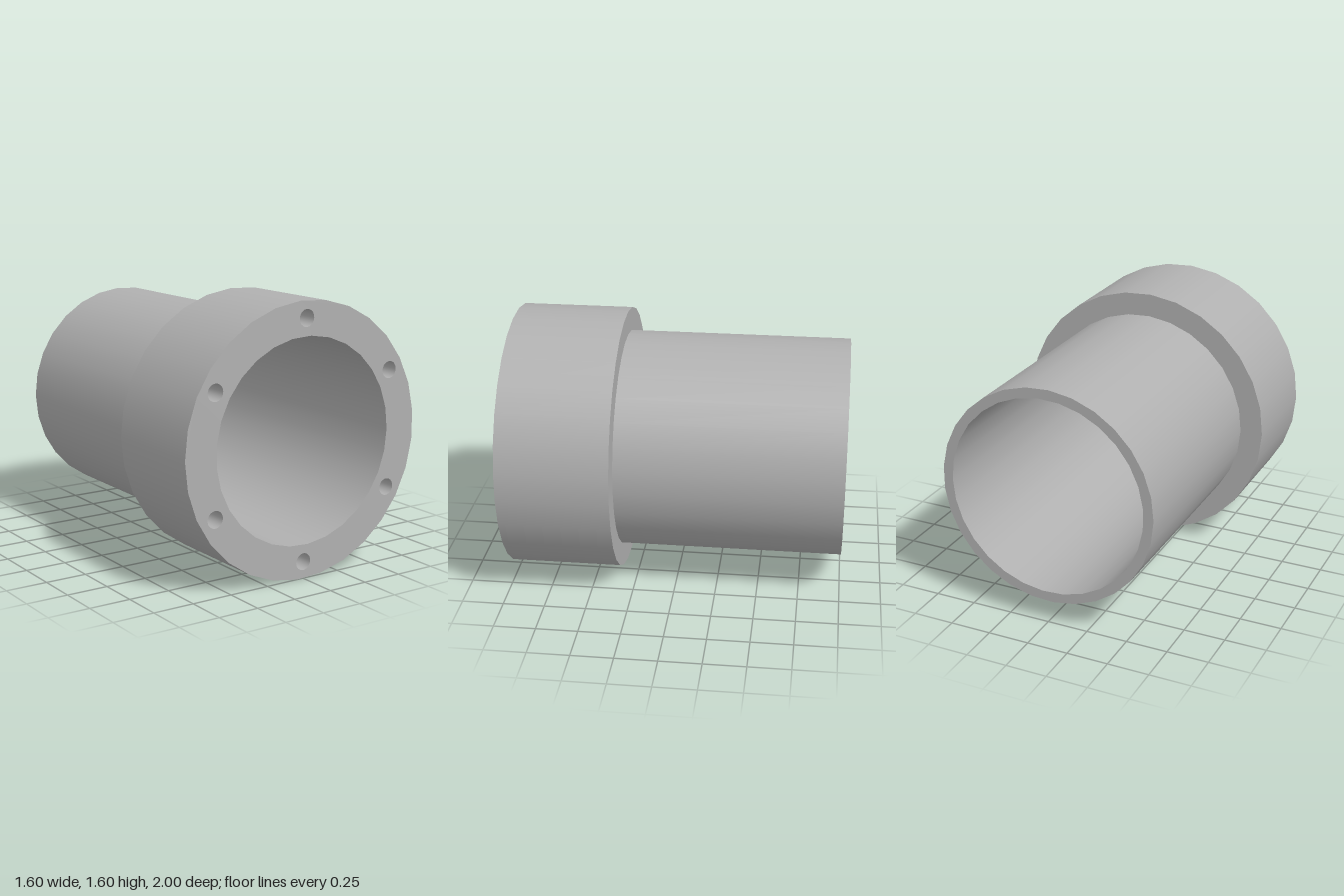
import * as THREE from 'three';

const SIDES = 29;
const FRONT = 1, STEP = 0.335, BACK = -1;
const FLANGE_R = 0.8, TUBE_R = 0.66, BORE_R = 0.6;
const HOLE_R = 0.05, HOLE_RING = 0.7, HOLE_DEPTH = 0.3, TIP = 0.03;

// Regular polygon with its first corner at the given angle
function polygon(r, start, cx = 0, cy = 0) {
  return Array.from({ length: SIDES }, (_, i) => {
    const a = start + (i / SIDES) * Math.PI * 2;
    return new THREE.Vector2(cx + r * Math.cos(a), cy + r * Math.sin(a));
  });
}

// Smooth wall around z; it faces outwards when z rises and inwards when z falls
function wall(r0, z0, r1, z1, start) {
  const points = [new THREE.Vector2(r0, z0), new THREE.Vector2(r1, z1)];
  return new THREE.LatheGeometry(points, SIDES, start + Math.PI / 2).rotateX(Math.PI / 2);
}

// Flat plate with cut-outs, facing +z
function plate(outline, cutouts) {
  const shape = new THREE.Shape(outline);
  cutouts.forEach((points) => shape.holes.push(new THREE.Path(points)));
  return new THREE.ShapeGeometry(shape);
}

export function createModel() {
  const grey = new THREE.MeshStandardMaterial({ color: 0xb0b0b0 });
  grey.name = 'grey metal';
  const model = new THREE.Group();
  model.name = 'flangedSleeve';
  const body = new THREE.Group();
  body.name = 'sleeve';
  body.position.y = FLANGE_R;
  model.add(body);

  const add = (name, geometry) => {
    const mesh = new THREE.Mesh(geometry, grey);
    mesh.name = name;
    body.add(mesh);
  };

  // Collar, narrower tube and through bore
  add('collarWall', wall(FLANGE_R, STEP, FLANGE_R, FRONT, Math.PI));
  add('tubeWall', wall(TUBE_R, BACK, TUBE_R, STEP, Math.PI));
  add('bore', wall(BORE_R, FRONT, BORE_R, BACK, 0));

  // Six blind drilled holes with conical ends
  const cutouts = [polygon(BORE_R, 0)];
  for (let i = 0; i < 6; i++) {
    const a = Math.PI / 2 + (i * Math.PI) / 3;
    const x = HOLE_RING * Math.cos(a), y = HOLE_RING * Math.sin(a);
    const floor = FRONT - HOLE_DEPTH;
    cutouts.push(polygon(HOLE_R, 0, x, y));
    add('boltHoleWall', wall(HOLE_R, FRONT, HOLE_R, floor, 0).translate(x, y, 0));
    add('boltHoleTip', wall(HOLE_R, floor, 0, floor - TIP, 0).translate(x, y, 0));
  }

  // Front face, shoulder and back rim
  add('collarFace', plate(polygon(FLANGE_R, Math.PI), cutouts).translate(0, 0, FRONT));
  add('shoulder', plate(polygon(FLANGE_R, 0), [polygon(TUBE_R, 0)])
    .rotateY(Math.PI).translate(0, 0, STEP));
  add('backRim', plate(polygon(TUBE_R, 0), [polygon(BORE_R, Math.PI)])
    .rotateY(Math.PI).translate(0, 0, BACK));

  return model;
}
